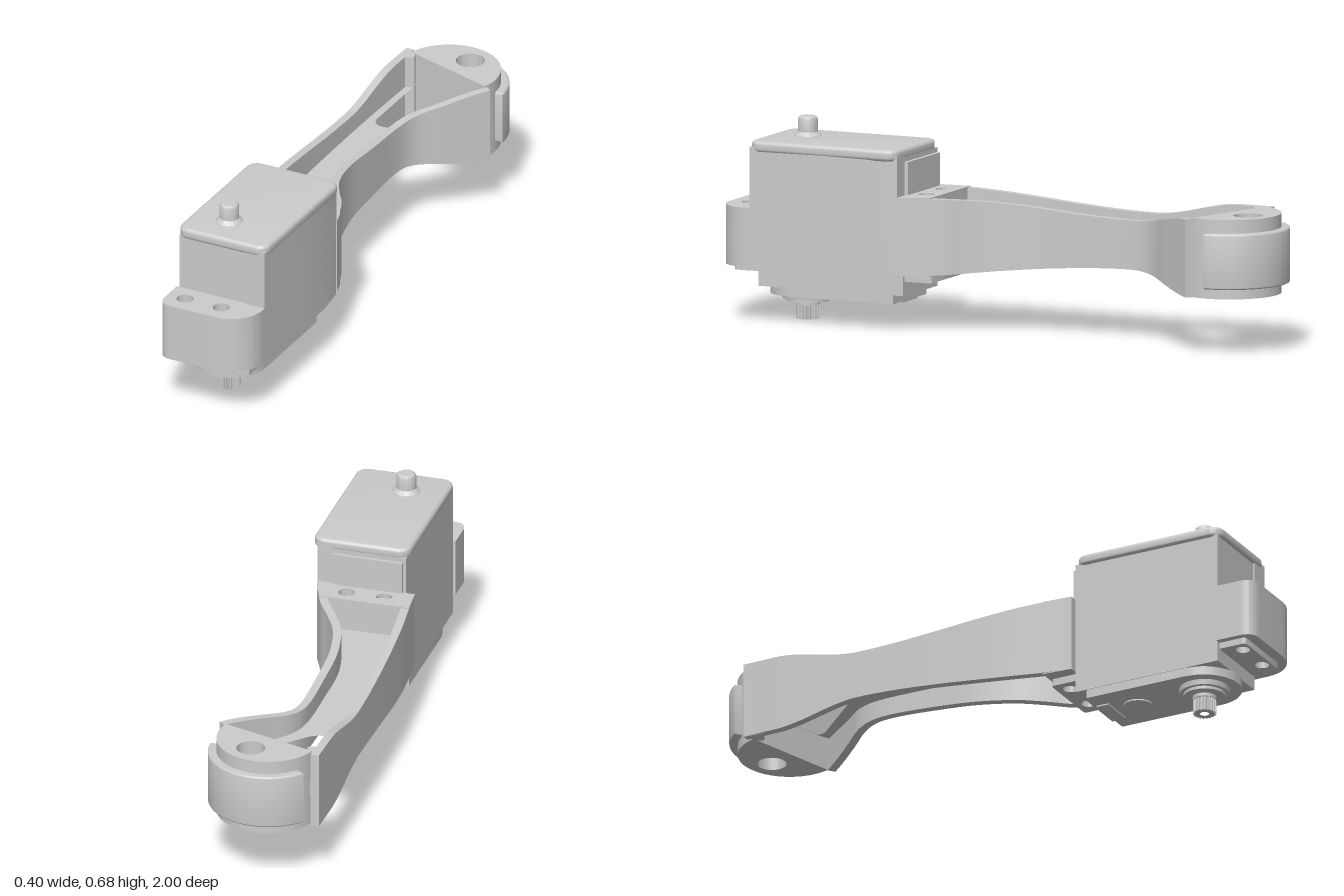
import * as THREE from 'three';
import { toCreasedNormals } from 'three/addons/utils/BufferGeometryUtils.js';

const grey = new THREE.MeshStandardMaterial({ color: 0xcccccc });
const greyDouble = new THREE.MeshStandardMaterial({ color: 0xcccccc, side: THREE.DoubleSide });
const CX = -0.005, CZ = 0.75; // servo axis
const MID = 0.322;            // mid height of the arm

export function createModel() {
  const group = new THREE.Group();

  const add = (name, geometry, material = grey) => {
    const mesh = new THREE.Mesh(toCreasedNormals(geometry, 0.55), material);
    mesh.name = name;
    group.add(mesh);
    return mesh;
  };

  // Plan shapes are drawn as (x, -z) and raised from y0 to y1
  const slab = (name, shape, y0, y1, bevel = 0) => {
    const g = new THREE.ExtrudeGeometry(shape, {
      depth: y1 - y0 - 2 * bevel, curveSegments: 20, bevelEnabled: bevel > 0,
      bevelThickness: bevel, bevelSize: bevel, bevelOffset: -bevel, bevelSegments: 4,
    });
    g.rotateX(-Math.PI / 2).translate(0, y0 + bevel, 0);
    return add(name, g);
  };
  const plan = (points) => new THREE.Shape(points.map(([x, z]) => new THREE.Vector2(x, -z)));
  const roundRect = (x0, x1, z0, z1, r) => {
    const s = new THREE.Shape();
    s.absarc(x1 - r, -z0 - r, r, 0, Math.PI / 2);
    s.absarc(x0 + r, -z0 - r, r, Math.PI / 2, Math.PI);
    s.absarc(x0 + r, -z1 + r, r, Math.PI, Math.PI * 1.5);
    s.absarc(x1 - r, -z1 + r, r, Math.PI * 1.5, Math.PI * 2);
    return s;
  };
  const drill = (shape, r, ...centres) => {
    for (const [x, z] of centres) shape.holes.push(new THREE.Path().absarc(x, -z, r, 0, Math.PI * 2, true));
    return shape;
  };
  const box = (name, x0, x1, y0, y1, z0, z1) =>
    add(name, new THREE.BoxGeometry(x1 - x0, y1 - y0, z1 - z0)
      .translate((x0 + x1) / 2, (y0 + y1) / 2, (z0 + z1) / 2));
  const disc = (name, rTop, rBottom, y0, y1, x = CX, z = CZ) =>
    add(name, new THREE.CylinderGeometry(rTop, rBottom, y1 - y0, 40).translate(x, (y0 + y1) / 2, z));

  // --- Arm: half height narrows to a waist at z = -0.44
  const halfHeight = (z) => z > -0.44
    ? 0.082 + 0.049 * THREE.MathUtils.smoothstep(z, -0.44, 0.35)
    : 0.131 - 0.049 * THREE.MathUtils.smoothstep(z, -0.75, -0.44);

  const sample = (points) => new THREE.SplineCurve(points.map((p) => new THREE.Vector2(...p))).getSpacedPoints(60);
  const leftEdge = sample([[-0.16, 0.335], [-0.17, 0.24], [-0.185, 0.1], [-0.195, -0.1], [-0.2, -0.35], [-0.2, -0.6], [-0.195, -0.87]]);
  const rightEdge = sample([[0.178, 0.335], [0.125, 0.2], [0.075, 0.12], [0.03, 0.03], [0.004, -0.1], [0, -0.25],
    [0, -0.43], [0.022, -0.52], [0.09, -0.605], [0.19, -0.73]]);

  // Wall swept along a plan edge, thickened sideways, following the arm height
  const wall = (name, edge, thickness) => {
    const pos = [], index = [];
    edge.forEach((p, i) => {
      const a = edge[Math.max(i - 1, 0)], b = edge[Math.min(i + 1, edge.length - 1)];
      const d = b.clone().sub(a).normalize();
      const q = new THREE.Vector2(p.x - d.y * thickness, p.y + d.x * thickness);
      const h = halfHeight(p.y);
      pos.push(p.x, MID - h, p.y, p.x, MID + h, p.y, q.x, MID + h, q.y, q.x, MID - h, q.y);
      if (i === 0) return;
      for (let k = 0; k < 4; k++) {
        const m = (k + 1) % 4, s = (i - 1) * 4, e = i * 4;
        if (thickness > 0) index.push(s + k, s + m, e + m, s + k, e + m, e + k);
        else index.push(s + k, e + m, s + m, s + k, e + k, e + m);
      }
    });
    const n = (edge.length - 1) * 4;
    if (thickness > 0) index.push(0, 2, 1, 0, 3, 2, n, n + 1, n + 2, n, n + 2, n + 3);
    else index.push(0, 1, 2, 0, 2, 3, n, n + 2, n + 1, n, n + 3, n + 2);
    const g = new THREE.BufferGeometry();
    g.setAttribute('position', new THREE.Float32BufferAttribute(pos, 3));
    g.setIndex(index);
    add(name, g, greyDouble);
  };
  wall('armRightSideWall', leftEdge, 0.028);
  wall('armLeftSideWall', rightEdge, -0.028);

  // Web between the walls, with a triangular opening near the head
  const web = plan([
    ...leftEdge.map((p) => [p.x + 0.012, p.y]),
    ...rightEdge.map((p) => [p.x - 0.014, p.y]).reverse(),
  ]);
  const opening = new THREE.Path();
  opening.moveTo(-0.145, 0.83);
  opening.quadraticCurveTo(-0.145, 0.85, -0.12, 0.842);
  opening.lineTo(0.1, 0.77);
  opening.quadraticCurveTo(0.13, 0.755, 0.11, 0.725);
  opening.lineTo(-0.06, 0.545);
  opening.quadraticCurveTo(-0.085, 0.52, -0.115, 0.525);
  opening.quadraticCurveTo(-0.145, 0.535, -0.145, 0.57);
  opening.closePath();
  web.holes.push(opening);
  slab('armWeb', web, 0.302, 0.342);

  // Rounded head with a raised outer pad
  const head = new THREE.Shape();
  head.absarc(0, 0.8, 0.172, -0.33, Math.PI - 0.28);
  head.closePath();
  slab('armHead', drill(head, 0.048, [0.035, -0.885]), 0.19, 0.455);
  const pad = new THREE.Shape();
  pad.absarc(0, 0.8, 0.2, 0, 2.48);
  pad.absarc(0, 0.8, 0.15, 2.48, 0, true);
  slab('headPad', drill(pad, 0.001), 0.225, 0.41, 0.006);
  // Small lip where the wall meets the head
  slab('headLip', plan([[-0.195, -0.868], [-0.15, -0.848], [-0.14, -0.82], [-0.19, -0.8]].reverse()), 0.19, 0.453);

  // --- Servo mounts at each end of the body
  const backHoles = [[-0.07, 0.283], [0.06, 0.283]], frontHoles = [[-0.075, 0.93], [0.06, 0.93]];
  slab('backMount', drill(plan([[-0.161, 0.335], [0.176, 0.335], [0.16, 0.28], [0.137, 0.232], [-0.168, 0.232]]), 0.027, ...backHoles), 0.19, 0.453);
  const front = new THREE.Shape();
  front.moveTo(-0.14, -0.865);
  front.lineTo(-0.14, -0.95);
  front.quadraticCurveTo(-0.14, -1, -0.09, -1);
  front.lineTo(0.07, -1);
  front.bezierCurveTo(0.14, -1, 0.19, -0.95, 0.19, -0.88);
  front.lineTo(0.19, -0.865);
  slab('frontMount', drill(front, 0.028, ...frontHoles), 0.187, 0.385);
  slab('sideCover', plan([[0.12, 0.87], [0.19, 0.87], [0.192, 0.6], [0.19, 0.44], [0.176, 0.335], [0.12, 0.335]]), 0.187, 0.59);

  // --- Servo
  box('servoBody', -0.13, 0.13, 0.118, 0.58, 0.335, 0.865);
  box('servoBackPanel', -0.12, 0.12, 0.455, 0.565, 0.322, 0.34);
  slab('servoCap', roundRect(-0.138, 0.194, 0.335, 0.873, 0.04), 0.572, 0.61, 0.012);
  slab('servoEars', drill(roundRect(-0.118, 0.118, 0.238, 0.962, 0.012), 0.024, ...backHoles, ...frontHoles), 0.165, 0.19);

  const gearCover = new THREE.Shape();
  gearCover.moveTo(-0.128, -0.375);
  gearCover.lineTo(-0.128, -0.75);
  gearCover.absarc(0, -0.745, 0.126, Math.PI, Math.PI * 2);
  gearCover.lineTo(0.124, -0.375);
  slab('gearCover', gearCover, 0.088, 0.12);
  box('gearCoverRib', -0.06, 0.06, 0.083, 0.09, 0.375, 0.42);
  disc('gearCoverBoss', 0.05, 0.05, 0.083, 0.09, 0, 0.5);
  disc('outputBossOuter', 0.085, 0.083, 0.07, 0.09);
  disc('outputBossInner', 0.07, 0.07, 0.06, 0.072);
  disc('outputCollar', 0.04, 0.04, 0.048, 0.062);

  // Splined output shaft
  const teeth = 20;
  const spline = plan(Array.from({ length: teeth * 4 }, (_, i) => {
    const a = (i / (teeth * 4)) * Math.PI * 2, r = i % 4 < 2 ? 0.039 : 0.033;
    return [CX + r * Math.cos(a), CZ + r * Math.sin(a)];
  }));
  slab('outputSpline', drill(spline, 0.015, [CX, CZ]), 0, 0.052);

  // Rear pivot pin on top of the cap
  const pin = [[0.046, 0.605], [0.046, 0.611], [0.033, 0.624], [0.033, 0.665], [0.03, 0.672], [0.024, 0.676], [0, 0.676]];
  add('pivotPin', new THREE.LatheGeometry(pin.map((p) => new THREE.Vector2(...p)), 32).translate(CX, 0, CZ));

  return group;
}
